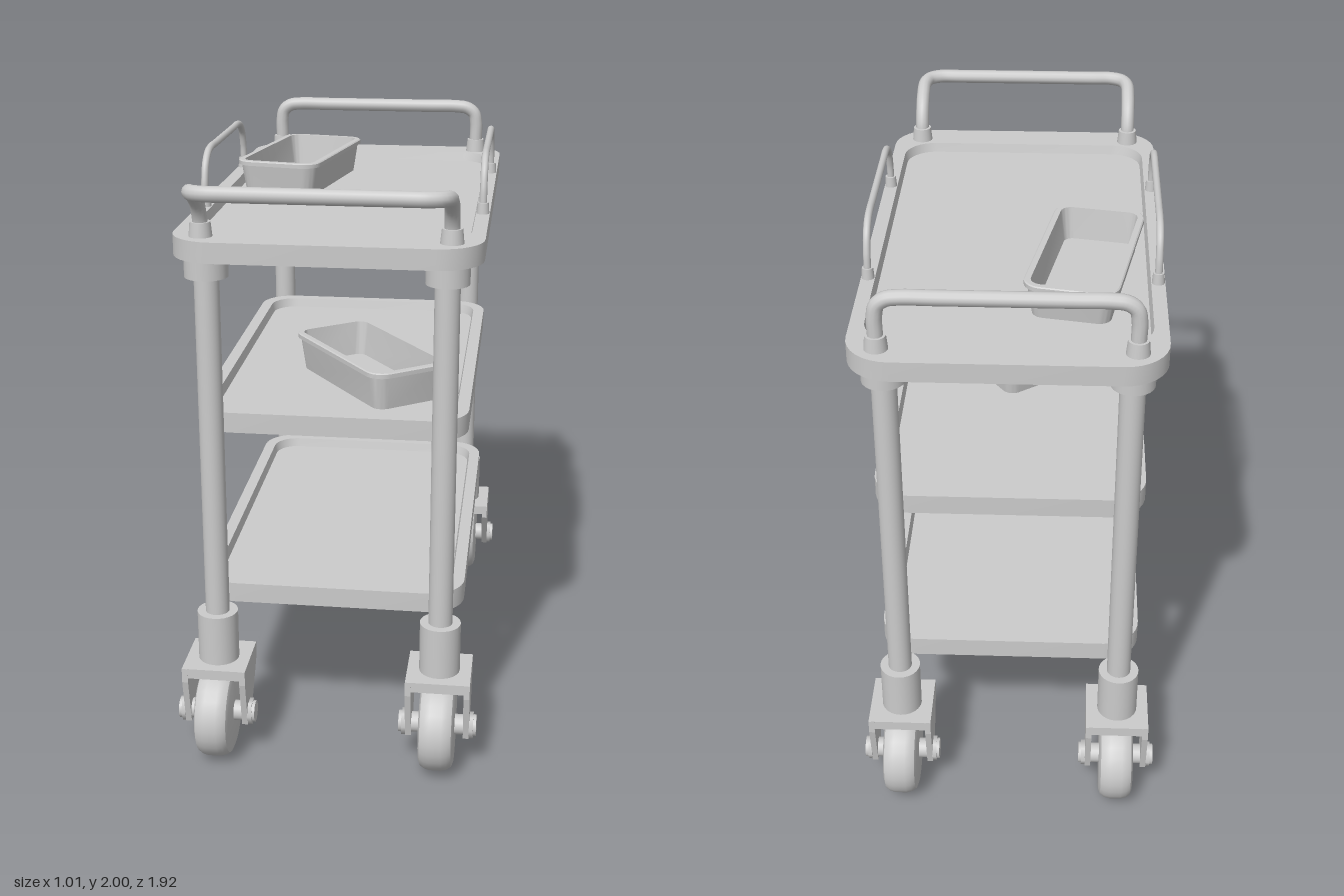
import * as THREE from 'three';
import { toCreasedNormals } from 'three/addons/utils/BufferGeometryUtils.js';

const mat = new THREE.MeshStandardMaterial({ color: 0xcccccc });

function add(parent, name, geo, x = 0, y = 0, z = 0) {
  const mesh = new THREE.Mesh(geo, mat);
  mesh.name = name;
  mesh.position.set(x, y, z);
  parent.add(mesh);
  return mesh;
}

// Upright cylinder starting at height y0
function post(parent, name, r, y0, y1, x, z, rTop = r) {
  return add(parent, name, new THREE.CylinderGeometry(rTop, r, y1 - y0, 24), x, (y0 + y1) / 2, z);
}

// Outline of a rounded rectangle in the ground plane, counterclockwise from above
function ring([w, l, r, y]) {
  const pts = [], n = 8;
  [[1, 1], [-1, 1], [-1, -1], [1, -1]].forEach(([sx, sz], k) => {
    for (let i = 0; i <= n; i++) {
      const a = (k + i / n) * Math.PI / 2;
      pts.push([sx * (w / 2 - r) + r * Math.cos(a), y, -sz * (l / 2 - r) - r * Math.sin(a)]);
    }
  });
  return pts;
}

// Skin over a series of rounded rectangles [width, length, radius, y], capped at both ends
function loft(sections) {
  const rings = sections.map(ring), n = rings[0].length, last = rings.length - 1;
  const pos = [], idx = [];
  rings.forEach(p => p.forEach(q => pos.push(...q)));
  const bottom = rings.length * n, top = bottom + 1;
  pos.push(0, sections[0][3], 0, 0, sections[last][3], 0);
  for (let j = 0; j < n; j++) {
    const k = (j + 1) % n;
    for (let i = 0; i < last; i++) {
      const a = i * n + j, b = i * n + k;
      idx.push(a, b, b + n, a, b + n, a + n);
    }
    idx.push(bottom, k, j, top, last * n + j, last * n + k);
  }
  const g = new THREE.BufferGeometry();
  g.setAttribute('position', new THREE.Float32BufferAttribute(pos, 3));
  g.setIndex(idx);
  return toCreasedNormals(g, 0.6);
}

// Half of a tube path, mirrored over x = 0 (axis 0) or z = 0 (axis 2)
function bentTube(half, axis, r) {
  const pts = half.map(p => new THREE.Vector3(...p));
  const other = pts.map(p => p.clone().setComponent(axis, -p.getComponent(axis))).reverse();
  const curve = new THREE.CatmullRomCurve3([...pts, ...other], false, 'centripetal');
  return new THREE.TubeGeometry(curve, 96, r, 12);
}

function makeBin(name) {
  const bin = new THREE.Group();
  bin.name = name;
  add(bin, 'binShell', loft([
    [0.25, 0.54, 0.04, 0], [0.28, 0.57, 0.05, 0.102], [0.30, 0.59, 0.06, 0.104],
    [0.30, 0.59, 0.06, 0.117], [0.292, 0.582, 0.056, 0.12], [0.256, 0.546, 0.036, 0.12],
    [0.23, 0.52, 0.03, 0.012],
  ]));
  return bin;
}

// Castor with its swivel on the origin and the wheel offset toward +z
function makeCastor(name) {
  const castor = new THREE.Group();
  castor.name = name;
  const wz = 0.042, wy = 0.158;
  post(castor, 'castorSocket', 0.068, 0.34, 0.515, 0, 0);
  add(castor, 'forkTop', new THREE.BoxGeometry(0.214, 0.035, 0.215), 0, 0.323, -0.003);

  const side = new THREE.Shape();
  side.moveTo(0.007, 0.122);
  side.lineTo(0.072, 0.122);
  side.lineTo(0.105, 0.29);
  side.lineTo(0.105, 0.34);
  side.lineTo(-0.11, 0.34);
  side.lineTo(-0.11, 0.29);
  side.closePath();
  const sideGeo = new THREE.ExtrudeGeometry(side, { depth: 0.02, bevelEnabled: false });
  sideGeo.translate(0, 0, -0.01).rotateY(-Math.PI / 2);

  const profile = [[0, -0.058], [0.125, -0.058], [0.142, -0.052], [0.152, -0.038], [0.157, -0.02],
    [0.157, 0.02], [0.152, 0.038], [0.142, 0.052], [0.125, 0.058], [0, 0.058]];
  const wheel = new THREE.LatheGeometry(profile.map(p => new THREE.Vector2(...p)), 28);
  add(castor, 'wheel', toCreasedNormals(wheel, 0.6).rotateZ(Math.PI / 2), 0, wy, wz);

  const across = (r, len, n) => new THREE.CylinderGeometry(r, r, len, n).rotateZ(Math.PI / 2);
  add(castor, 'axle', across(0.034, 0.2, 20), 0, wy, wz);
  for (const s of [-1, 1]) {
    add(castor, 'forkSide', sideGeo, s * 0.097, 0, 0);
    add(castor, 'axleNut', across(0.044, 0.014, 6), s * 0.113, wy, wz);
    add(castor, 'axleCap', across(0.036, 0.012, 20), s * 0.124, wy, wz);
  }
  return castor;
}

export function createModel() {
  const cart = new THREE.Group();
  cart.name = 'serviceCart';

  // Top tray with a wide rim front and back
  add(cart, 'topTray', loft([
    [0.965, 1.70, 0.14, 1.738], [0.965, 1.70, 0.14, 1.804],
    [0.875, 1.455, 0.11, 1.804], [0.86, 1.44, 0.105, 1.772],
  ]), 0, 0, -0.032);

  // Lower trays between the legs
  for (const [name, y] of [['middleTray', 1.14], ['bottomTray', 0.53]]) {
    add(cart, name, loft([
      [0.885, 1.40, 0.12, y], [0.885, 1.40, 0.12, y + 0.068],
      [0.805, 1.32, 0.09, y + 0.068], [0.79, 1.305, 0.085, y + 0.036],
    ]), 0, 0, -0.025);
  }

  // Legs with collars and castors, the rear castors turned backward
  for (const [end, z, turn] of [['front', 0.712, 0], ['rear', -0.762, Math.PI]]) {
    for (const [hand, x] of [['Left', 0.373], ['Right', -0.376]]) {
      post(cart, `${end}${hand}Leg`, 0.04, 0.5, 1.75, x, z);
      post(cart, `${end}${hand}LegCollar`, 0.069, 1.672, 1.742, x, z);
      const castor = makeCastor(`${end}${hand}Castor`);
      castor.position.set(x, 0, z);
      castor.rotation.y = turn;
      cart.add(castor);
    }
  }

  // Push handle curving out over the front, upright handle at the rear
  add(cart, 'frontHandle', bentTube([
    [0.385, 1.80, 0.735], [0.385, 1.86, 0.74], [0.385, 1.915, 0.77], [0.385, 1.95, 0.82],
    [0.382, 1.969, 0.875], [0.365, 1.974, 0.912], [0.325, 1.976, 0.931], [0.25, 1.976, 0.932],
  ], 0, 0.024));
  add(cart, 'rearHandle', bentTube([
    [0.385, 1.80, -0.803], [0.385, 1.85, -0.803], [0.385, 1.91, -0.803],
    [0.376, 1.95, -0.803], [0.35, 1.97, -0.803], [0.31, 1.976, -0.803], [0.2, 1.976, -0.803],
  ], 0, 0.024));

  // Side rails and the collars of all handles
  for (const s of [-1, 1]) {
    add(cart, 'sideRail', bentTube([
      [0, 1.80, 0.343], [0, 1.85, 0.343], [0, 1.89, 0.338], [0, 1.94, 0.318],
      [0, 1.97, 0.28], [0, 1.98, 0.235], [0, 1.98, 0.15],
    ], 2, 0.012), s * 0.46, 0, -0.026);
    for (const z of [0.317, -0.369]) post(cart, 'railCollar', 0.021, 1.80, 1.84, s * 0.46, z, 0.018);
    for (const z of [0.735, -0.803]) post(cart, 'handleCollar', 0.037, 1.80, 1.85, s * 0.385, z, 0.032);
  }

  // Two loose bins resting on the trays
  const topBin = makeBin('topBin');
  topBin.position.set(-0.23, 1.77, -0.3);
  topBin.rotation.y = -0.18;
  const middleBin = makeBin('middleBin');
  middleBin.position.set(0.082, 1.176, 0.22);
  middleBin.scale.y = 1.1;
  middleBin.rotation.y = 0.63;
  cart.add(topBin, middleBin);

  return cart;
}
